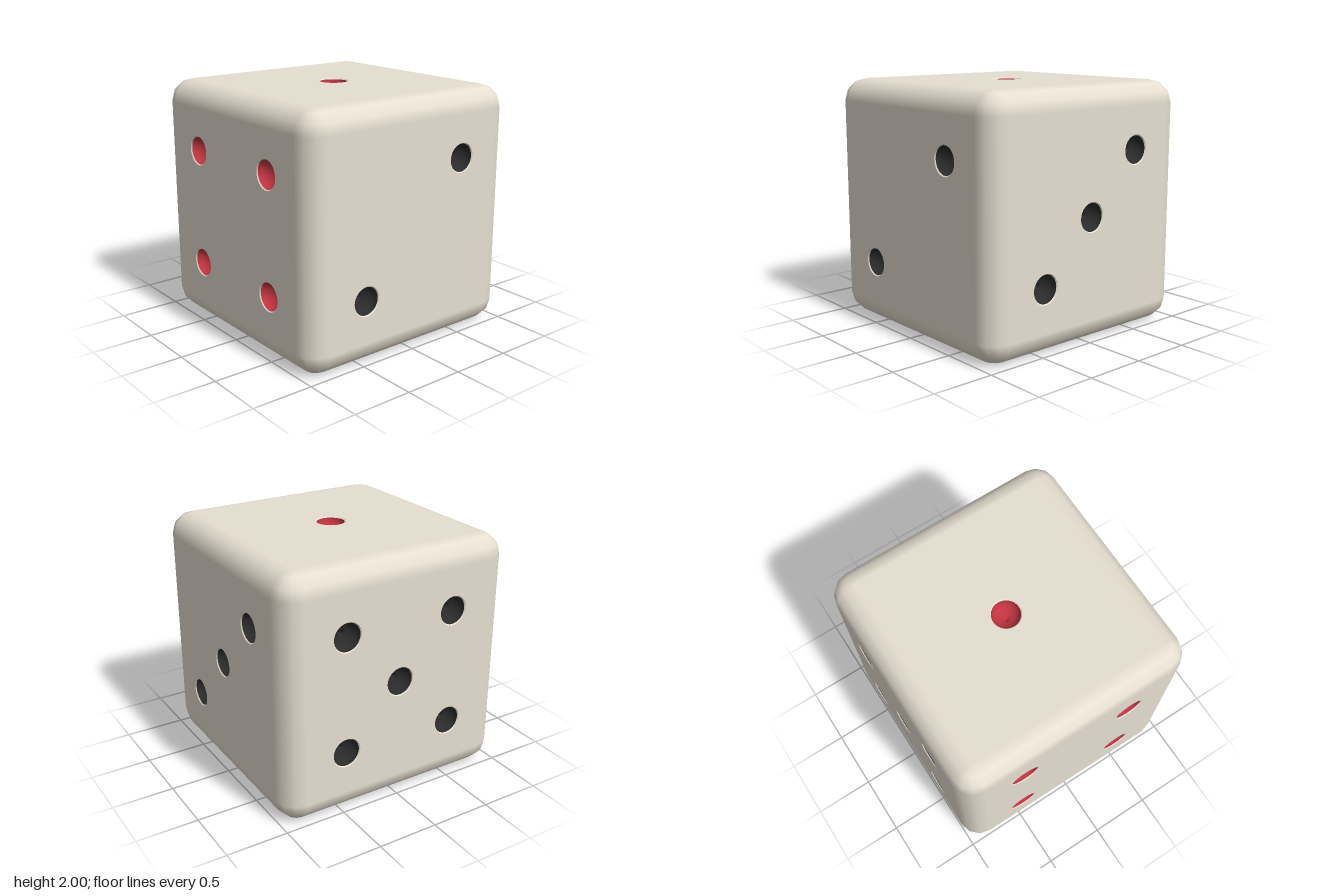
import * as THREE from 'three';

const R = 0.18;          // edge rounding
const H = 1 - R;         // half size of each flat panel
const P = 0.475;         // pip offset from the face centre
const PIP = 0.12;        // pip rim radius
const Q = Math.PI / 2;

const mat = (color) => new THREE.MeshStandardMaterial({ color, side: THREE.DoubleSide });
const v = (x, y) => new THREE.Vector2(x, y);

export function createModel() {
  const ivory = mat(0xe6dfd1), red = mat(0xc03440), black = mat(0x2b2b2b);
  const model = new THREE.Group();
  model.name = 'die';
  const body = new THREE.Group();
  body.name = 'body';
  body.position.y = 1;
  model.add(body);

  const add = (parent, name, geometry, material) => {
    const mesh = new THREE.Mesh(geometry, material);
    mesh.name = name;
    parent.add(mesh);
    return mesh;
  };

  // Pip: a narrow ivory lip, then a round bowl with a tiny dimple at the bottom
  const lipGeo = new THREE.LatheGeometry([v(PIP, 0), v(0.112, -0.008)], 32).rotateX(Q);
  const bowl = [];
  for (let i = 0; i <= 8; i++) {
    const a = (i / 8) * 1.36;
    bowl.push(v(0.112 * Math.cos(a), -0.008 - 0.092 * Math.sin(a)));
  }
  bowl.push(v(0.014, -0.112), v(0, -0.116));
  const bowlGeo = new THREE.LatheGeometry(bowl, 32).rotateX(Q);

  // Six flat panels pierced by their pips
  const square = [[-P, -P], [P, P], [-P, P], [P, -P]];
  const faces = [
    ['front', 0, 0, red, square],
    ['right', 0, Q, black, square.slice(0, 2)],
    ['back', 0, Math.PI, black, [...square.slice(0, 2), [0, 0]]],
    ['left', 0, -Q, black, [...square, [0, 0]]],
    ['top', -Q, 0, red, [[0, 0]]],
    ['bottom', Q, 0, black, [...square, [-P, 0], [P, 0]]],
  ];
  for (const [name, rx, ry, pipMat, pips] of faces) {
    const face = new THREE.Group();
    face.name = name + 'Face';
    face.rotation.set(rx, ry, 0);
    body.add(face);
    const shape = new THREE.Shape([v(-H, -H), v(H, -H), v(H, H), v(-H, H)]);
    for (const [x, y] of pips) {
      shape.holes.push(new THREE.Path().absarc(x, y, PIP, 0, Math.PI * 2, true));
      add(face, 'pipLip', lipGeo, ivory).position.set(x, y, 1);
      add(face, 'pip', bowlGeo, pipMat).position.set(x, y, 1);
    }
    add(face, 'panel', new THREE.ShapeGeometry(shape, 16), ivory).position.z = 1;
  }

  // Rounded edges: four along each axis
  const edgeGeo = new THREE.CylinderGeometry(R, R, 2 * H, 3, 1, true, 0, Q).translate(H, 0, H);
  for (const [rx, rz] of [[0, 0], [Q, 0], [0, Q]]) {
    const edges = new THREE.Group();
    edges.name = 'edges';
    edges.rotation.set(rx, 0, rz);
    for (let k = 0; k < 4; k++) add(edges, 'roundedEdge', edgeGeo, ivory).rotation.y = k * Q;
    body.add(edges);
  }

  // Rounded corners: four above, four below
  const cornerGeo = new THREE.SphereGeometry(R, 3, 3, Q, Q, 0, Q).translate(H, H, H);
  for (const flip of [0, Math.PI]) {
    const corners = new THREE.Group();
    corners.name = flip ? 'lowerCorners' : 'upperCorners';
    corners.rotation.x = flip;
    for (let k = 0; k < 4; k++) add(corners, 'roundedCorner', cornerGeo, ivory).rotation.y = k * Q;
    body.add(corners);
  }
  return model;
}
